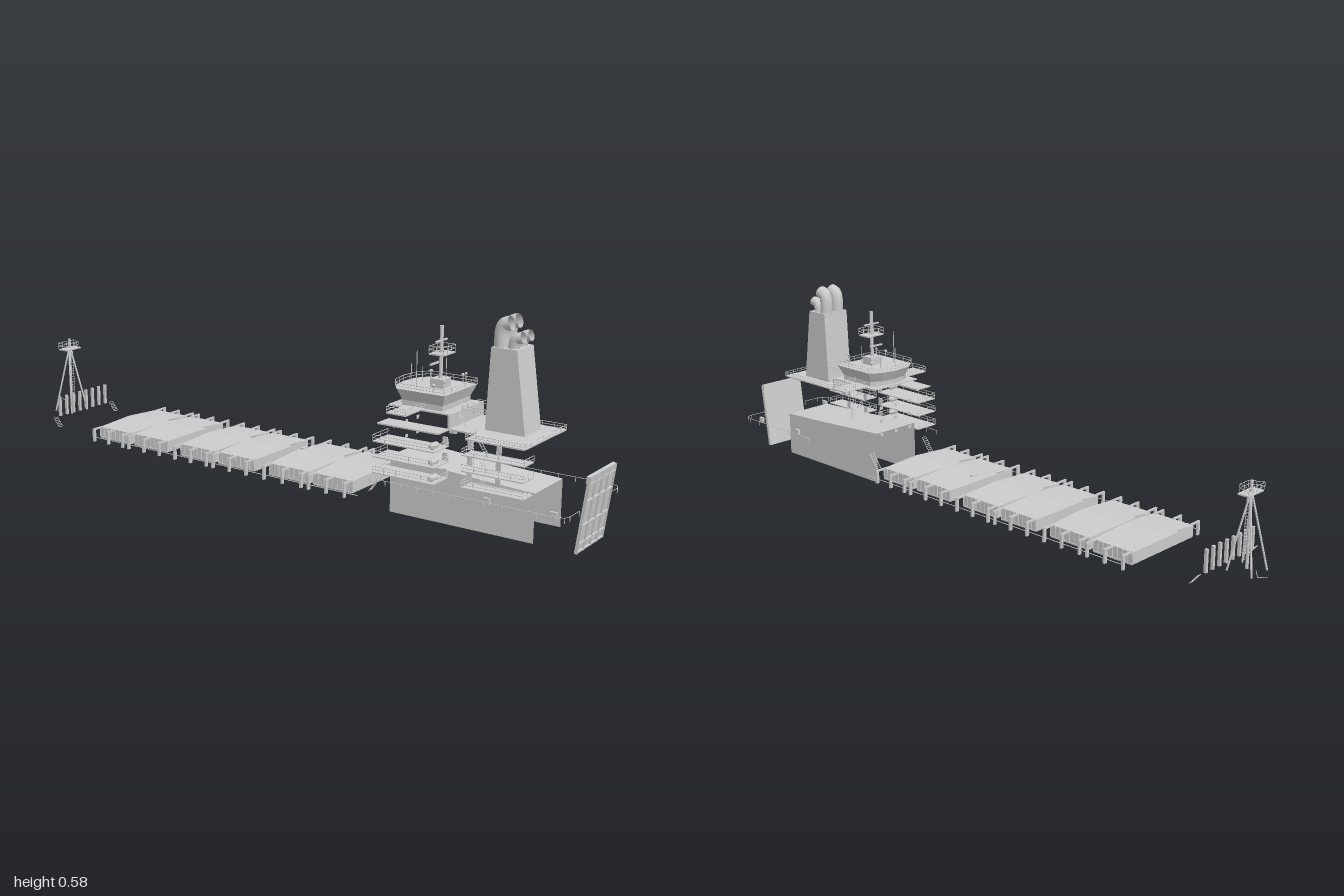
import * as THREE from 'three';

const grey = new THREE.MeshStandardMaterial({ color: 0xcccccc, side: THREE.DoubleSide, flatShading: true });
const smooth = new THREE.MeshStandardMaterial({ color: 0xcccccc, side: THREE.DoubleSide });
const V = (x, y, z) => new THREE.Vector3(x, y, z);

function add(parent, name, geometry, material = grey) {
  const mesh = new THREE.Mesh(geometry, material);
  mesh.name = name;
  parent.add(mesh);
  return mesh;
}
// Box given by its low and high corners
function box(parent, name, x0, x1, y0, y1, z0, z1) {
  const mesh = add(parent, name, new THREE.BoxGeometry(x1 - x0, y1 - y0, z1 - z0));
  mesh.position.set((x0 + x1) / 2, (y0 + y1) / 2, (z0 + z1) / 2);
  return mesh;
}
function rod(parent, name, a, b, r = 0.001, sides = 4) {
  const mesh = add(parent, name, new THREE.CylinderGeometry(r, r, a.distanceTo(b), sides));
  mesh.position.copy(a).add(b).multiplyScalar(0.5);
  mesh.quaternion.setFromUnitVectors(V(0, 1, 0), b.clone().sub(a).normalize());
  return mesh;
}
function group(parent, name) {
  const g = new THREE.Group();
  g.name = name;
  parent.add(g);
  return g;
}
// Railing along a list of [x, z] points
function railing(parent, name, pts, y, h = 0.016, step = 0.035, bars = 2) {
  const g = group(parent, name);
  for (let i = 0; i + 1 < pts.length; i++) {
    const a = V(pts[i][0], y, pts[i][1]), b = V(pts[i + 1][0], y, pts[i + 1][1]);
    for (let k = 1; k <= bars; k++) {
      const up = V(0, h * k / bars, 0);
      rod(g, 'railBar', a.clone().add(up), b.clone().add(up), 0.0009);
    }
    const n = Math.max(1, Math.round(a.distanceTo(b) / step));
    for (let k = 0; k <= n; k++) {
      const p = a.clone().lerp(b, k / n);
      rod(g, 'railPost', p, p.clone().add(V(0, h, 0)), 0.0009);
    }
  }
  return g;
}
function ladder(parent, a, b, width, rungs) {
  const g = group(parent, 'ladder'), w = V(width / 2, 0, 0);
  for (const s of [-1, 1]) rod(g, 'ladderRail', a.clone().addScaledVector(w, s), b.clone().addScaledVector(w, s));
  for (let i = 0; i <= rungs; i++) {
    const p = a.clone().lerp(b, i / rungs);
    rod(g, 'rung', p.clone().sub(w), p.clone().add(w));
  }
}

// Open block lofted through four-point sections
function loft(sections) {
  const pos = [], idx = [];
  const n = sections[0].length;
  sections.forEach(s => s.forEach(p => pos.push(...p)));
  for (let i = 0; i + 1 < sections.length; i++) for (let j = 0; j + 1 < n; j++) {
    const a = i * n + j, b = a + 1, c = a + n, d = c + 1;
    idx.push(a, c, b, b, c, d);
  }
  const g = new THREE.BufferGeometry();
  g.setAttribute('position', new THREE.Float32BufferAttribute(pos, 3));
  g.setIndex(idx);
  const flat = g.toNonIndexed();
  flat.computeVertexNormals();
  return flat;
}

function sternRamp(root) {
  const ramp = group(root, 'sternRamp');
  box(ramp, 'rampPlate', -0.08, 0.08, 0, 0.212, -0.003, 0.001);
  for (let i = 0; i <= 4; i++) box(ramp, 'rampRib', -0.081 + i * 0.04, -0.079 + i * 0.04, 0, 0.21, 0, 0.006);
  for (const y of [0.004, 0.028, 0.079, 0.145, 0.192]) box(ramp, 'rampBeam', -0.08, 0.08, y - 0.002, y + 0.002, 0, 0.006);
  box(ramp, 'rampTopFlap', -0.08, 0.08, 0.193, 0.212, -0.006, 0.004);
  ramp.rotation.x = 0.13;
  ramp.position.set(0, 0.001, 0.967);
}

function hatches(root) {
  const g = group(root, 'cargoHatches');
  for (const [z0, z1] of [[-0.648, -0.516], [-0.5, -0.364], [-0.31, -0.177], [-0.161, -0.026], [0.03, 0.172], [0.188, 0.32]]) {
    // Slightly crowned cover with an open bottom
    const profile = [[-0.134, 0.055], [-0.134, 0.088], [0, 0.096], [0.134, 0.088], [0.134, 0.055]];
    add(g, 'hatchCover', loft([z1, z0].map(z => profile.map(([x, y]) => [x, y, z]))));
    for (const z of [z0, z1]) box(g, 'hatchEnd', -0.134, 0.134, 0.055, 0.088, z - 0.0015, z + 0.0015);
    box(g, 'hatchFloor', -0.115, 0.115, 0.064, 0.066, z0 + 0.015, z1 - 0.015);
    for (const s of [-1, 1]) {
      box(g, 'hatchRim', Math.min(s * 0.115, s * 0.136), Math.max(s * 0.115, s * 0.136), 0.052, 0.056, z0, z1);
      for (const z of [z0 + 0.005, (z0 + z1) / 2, z1 - 0.005]) {
        const post = box(g, 'sidePost', -0.005, 0.005, 0.048, 0.09, -0.003, 0.003);
        post.position.x = s * 0.167;
        const arm = box(g, 'sideArm', -0.019, 0.019, 0.085, 0.09, -0.003, 0.003);
        arm.position.set(s * 0.15, 0.0875, z);
        post.position.z = z;
      }
      for (let i = 0; i < 9; i++) {
        const z = z0 + (z1 - z0) * i / 8;
        rod(g, 'hatchStiffener', V(s * 0.135, 0.055, z), V(s * 0.135, 0.088, z), 0.0015);
      }
    }
    for (const z of [z0 + 0.007, z1 - 0.007]) box(g, 'hatchRim', -0.134, 0.134, 0.052, 0.056, z - 0.007, z + 0.007);
  }
  for (const s of [-1, 1]) rod(g, 'sideRail', V(s * 0.17, 0.063, -0.648), V(s * 0.17, 0.063, 0.36), 0.0012);
}

function funnel(root) {
  const g = group(root, 'funnel');
  const section = (y, z0, z1) => [[-0.047, y, z0], [-0.047, y, z1], [0.047, y, z1], [0.047, y, z0], [-0.047, y, z0]];
  add(g, 'funnelCasing', loft([section(0.5, 0.69, 0.765), section(0.275, 0.68, 0.797)]));
  box(g, 'funnelTop', -0.046, 0.046, 0.498, 0.5, 0.69, 0.765);
  for (const s of [-1, 1]) for (const [z, top] of [[0.708, 0.565], [0.744, 0.53]]) {
    const path = new THREE.CatmullRomCurve3([V(s * 0.022, 0.49, z), V(s * 0.022, top - 0.025, z),
      V(s * 0.022, top - 0.006, z + 0.007), V(s * 0.022, top, z + 0.026)]);
    add(g, 'exhaustPipe', new THREE.TubeGeometry(path, 14, top > 0.54 ? 0.0195 : 0.0155, 18), smooth);
  }
}

function bridge(root) {
  const g = group(root, 'bridge');
  // Bridge plan with a bowed forward side; the walls flare outward
  const plan = [[-0.09, 0.58], [0.09, 0.58], [0.09, 0.43], [0.055, 0.405], [0, 0.397], [-0.055, 0.405], [-0.09, 0.43], [-0.09, 0.58]];
  const ring = (k, y) => plan.map(([x, z]) => [x * k, y, 0.5 + (z - 0.5) * k]);
  add(g, 'bridgeWindowsBand', loft([ring(1, 0.36), ring(0.84, 0.328), ring(0.84, 0.312)]));
  const shape = new THREE.Shape(plan.map(([x, z]) => new THREE.Vector2(x, -z)));
  const roof = add(g, 'bridgeRoof', new THREE.ShapeGeometry(shape));
  roof.rotation.x = -Math.PI / 2;
  roof.position.y = 0.359;
  box(g, 'bridgeFloor', -0.09, 0.09, 0.309, 0.313, 0.405, 0.6);
  box(g, 'bridgeBulkhead', -0.095, 0.095, 0.27, 0.312, 0.594, 0.6);
  for (const s of [-1, 1]) {
    const wing = box(g, 'bridgeWing', -0.05, 0.05, 0.31, 0.314, 0.45, 0.51);
    wing.position.x = s * 0.122;
    railing(g, 'wingRailing', [[s * 0.075, 0.51], [s * 0.171, 0.51], [s * 0.171, 0.45], [s * 0.09, 0.45]], 0.313);
    const leg = box(g, 'deckBracket', -0.006, 0.006, 0.253, 0.272, 0.58, 0.6);
    leg.position.x = s * 0.055;
  }
  railing(g, 'roofRailing', plan, 0.36);
  // Antennas and domes
  for (const [x, z, top] of [[-0.052, 0.47, 0.465], [0.056, 0.5, 0.43], [-0.03, 0.44, 0.42], [0.03, 0.44, 0.4]])
    rod(g, 'antenna', V(x, 0.36, z), V(x, top, z), 0.0012, 6);
  for (const [x, z, y, r] of [[-0.08, 0.54, 0.382, 0.005], [-0.058, 0.56, 0.39, 0.004], [0.079, 0.54, 0.382, 0.005], [0.06, 0.45, 0.385, 0.005], [0.06, 0.56, 0.392, 0.004]]) {
    rod(g, 'domeStand', V(x, 0.36, z), V(x, y, z), 0.0015, 6);
    add(g, 'antennaDome', new THREE.SphereGeometry(r, 10, 8), smooth).position.set(x, y, z);
  }
  // Main mast
  box(g, 'mastBase', -0.022, 0.022, 0.36, 0.385, 0.495, 0.535);
  rod(g, 'mainMast', V(0, 0.36, 0.515), V(0, 0.53, 0.515), 0.0055, 8);
  box(g, 'mastPlatform', -0.032, 0.032, 0.452, 0.456, 0.495, 0.54);
  railing(g, 'mastRailing', [[-0.032, 0.495], [0.032, 0.495], [0.032, 0.54], [-0.032, 0.54], [-0.032, 0.495]], 0.456, 0.02, 0.02);
  box(g, 'radarBar', -0.03, 0.03, 0.487, 0.491, 0.512, 0.518);
  box(g, 'radarBar', -0.025, 0.025, 0.42, 0.425, 0.493, 0.498);
}

function deckhouse(root) {
  const g = group(root, 'deckhouse');
  const section = (z, top) => [[-0.081, 0.003, z], [-0.081, top, z], [0.081, top, z], [0.081, 0.003, z]];
  add(g, 'deckhouseShell', loft([section(0.85, 0.14), section(0.7, 0.147), section(0.41, 0.166)]));
  box(g, 'upperDeck', -0.095, 0.09, 0.271, 0.275, 0.6, 0.85);
  box(g, 'upperDeckSide', -0.154, -0.095, 0.271, 0.275, 0.68, 0.85);
  box(g, 'upperDeckSide', -0.154, -0.095, 0.271, 0.275, 0.41, 0.6);
  railing(g, 'upperDeckRailing', [[-0.095, 0.68], [-0.152, 0.68], [-0.152, 0.85], [0.09, 0.85], [0.09, 0.6]], 0.274, 0.013);
  railing(g, 'funnelRailing', [[-0.045, 0.68], [-0.045, 0.61], [0.045, 0.61], [0.045, 0.68]], 0.313);
  ladder(g, V(-0.056, 0.272, 0.63), V(-0.056, 0.312, 0.605), 0.014, 7);
  ladder(g, V(0, 0.15, 0.62), V(0, 0.27, 0.62), 0.012, 14);
  // Balconies with lifeboats and stairs on one side
  for (const y of [0.138, 0.183, 0.226]) {
    for (const [z0, z1, x0] of [[0.41, 0.6, -0.174], [0.67, 0.85, -0.15]]) {
      box(g, 'balcony', x0, -0.095, y, y + 0.003, z0, z1);
      railing(g, 'balconyRailing', [[-0.097, z0], [x0, z0], [x0, z1], [-0.097, z1]], y + 0.003, 0.017);
    }
    const boat = add(g, 'lifeboat', new THREE.CapsuleGeometry(0.0095, 0.02, 5, 10), smooth);
    boat.rotation.z = Math.PI / 2;
    boat.position.set(-0.151, y + 0.014, 0.587);
    ladder(g, V(-0.118, y, 0.73), V(-0.118, y + 0.044, 0.7), 0.014, 7);
    for (const z of [0.59, 0.665, 0.75]) box(g, 'door', -0.099, -0.095, y + 0.004, y + 0.026, z - 0.007, z + 0.007);
    for (const x of [-0.06, 0, 0.06]) box(g, 'window', x - 0.006, x + 0.006, y + 0.015, y + 0.025, 0.409, 0.411);
  }
}

function mainDeck(root) {
  const g = group(root, 'mainDeck');
  for (const s of [-1, 1]) {
    railing(g, 'sternRailing', [[s * 0.171, s < 0 ? 0.4 : 0.64], [s * 0.171, 0.95], [s * 0.163, 0.972], [s * 0.145, 0.978], [s * 0.09, 0.978]], 0.107, 0.014, 0.05, 1);
    for (const z of [0.74, 0.93]) {
      const bollard = box(g, 'bollard', -0.004, 0.004, 0.105, 0.122, z - 0.009, z + 0.009);
      bollard.position.x = s * 0.137;
    }
    ladder(g, V(s * 0.113, 0.065, 0.365), V(s * 0.113, 0.112, 0.4), 0.016, 9);
    ladder(g, V(s * 0.13, 0.058, -0.832), V(s * 0.13, 0.085, -0.855), 0.016, 6);
  }
  box(g, 'smallLocker', 0.005, 0.03, 0.1, 0.104, 0.04, 0.05);
}

function bow(root) {
  const g = group(root, 'bow');
  for (let i = 0; i < 8; i++) {
    const x = -0.105 + i * 0.03;
    box(g, 'breakwaterPost', x - 0.004, x + 0.004, 0.085, 0.15, -0.862, -0.854);
  }
  // Foremast on splayed legs
  for (const sx of [-1, 1]) for (const z of [-0.875, -0.95])
    rod(g, 'foremastLeg', V(sx * 0.036, 0.075, z), V(sx * 0.004, 0.285, -0.912), 0.003, 6);
  rod(g, 'foremast', V(0, 0.08, -0.912), V(0, 0.32, -0.912), 0.0045, 8);
  ladder(g, V(0, 0.1, -0.9), V(0, 0.285, -0.905), 0.012, 20);
  box(g, 'foremastPlatform', -0.034, 0.034, 0.285, 0.289, -0.927, -0.893);
  railing(g, 'foremastRailing', [[-0.036, -0.928], [0.036, -0.928], [0.02, -0.89], [-0.02, -0.89], [-0.036, -0.928]], 0.289, 0.02, 0.02);
  rod(g, 'jackstaff', V(0.04, 0.085, -0.97), V(0.04, 0.095, -0.999), 0.001);
  rod(g, 'bowHook', V(0.04, 0.085, -0.97), V(0.025, 0.095, -0.955), 0.001);
}

export function createModel() {
  const root = new THREE.Group();
  root.name = 'cargoShipFittings';
  for (const part of [sternRamp, hatches, funnel, bridge, deckhouse, mainDeck, bow]) part(root);
  return root;
}
